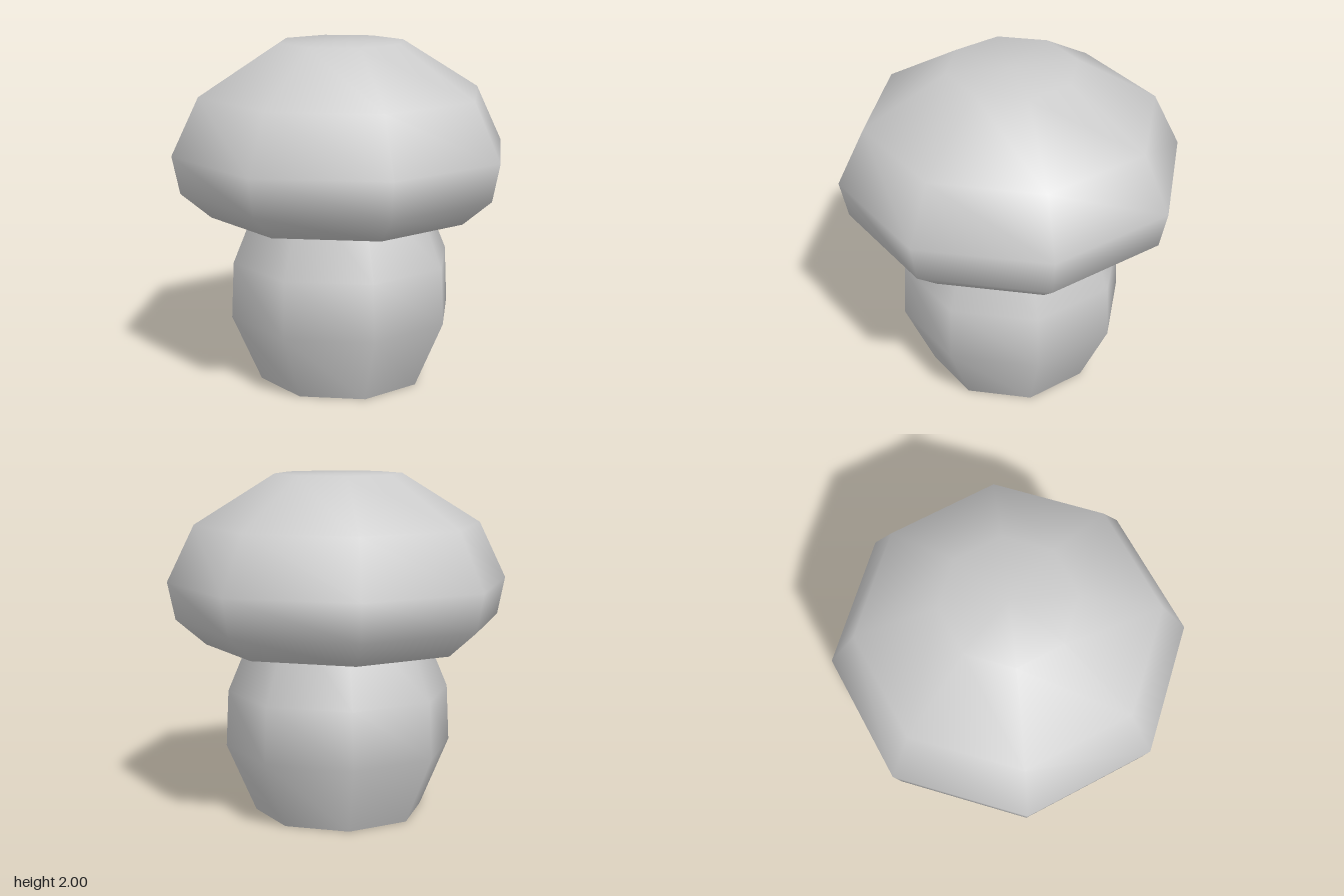
import * as THREE from 'three';

const SIDES = 8;

// Smooth-shaded octagonal solid of revolution, profile listed bottom to top
function turned(name, profile, material) {
  const points = profile.map(([r, y]) => new THREE.Vector2(r, y));
  const mesh = new THREE.Mesh(new THREE.LatheGeometry(points, SIDES), material);
  mesh.name = name;
  return mesh;
}

export function createModel() {
  const group = new THREE.Group();
  group.name = 'mushroom';

  const paleGrey = new THREE.MeshStandardMaterial({ color: 0xcccccc });
  paleGrey.name = 'paleGrey';

  // Bulging stem, narrowing as it rises into the hollow of the cap
  group.add(turned('stem', [[0.497, 0], [0.67, 0.4], [0.655, 0.73], [0.45, 1.22]], paleGrey));

  // Flat base with a sharp edge
  group.add(turned('stemBase', [[0, 0], [0.497, 0]], paleGrey));

  // Cap: hollow underside, rounded rim, domed sides and a flat crown
  group.add(turned('cap', [
    [0.45, 1.22], [0.78, 1.01], [0.955, 1.16], [1, 1.38],
    [0.84, 1.71], [0.373, 2], [0, 2],
  ], paleGrey));

  return group;
}
